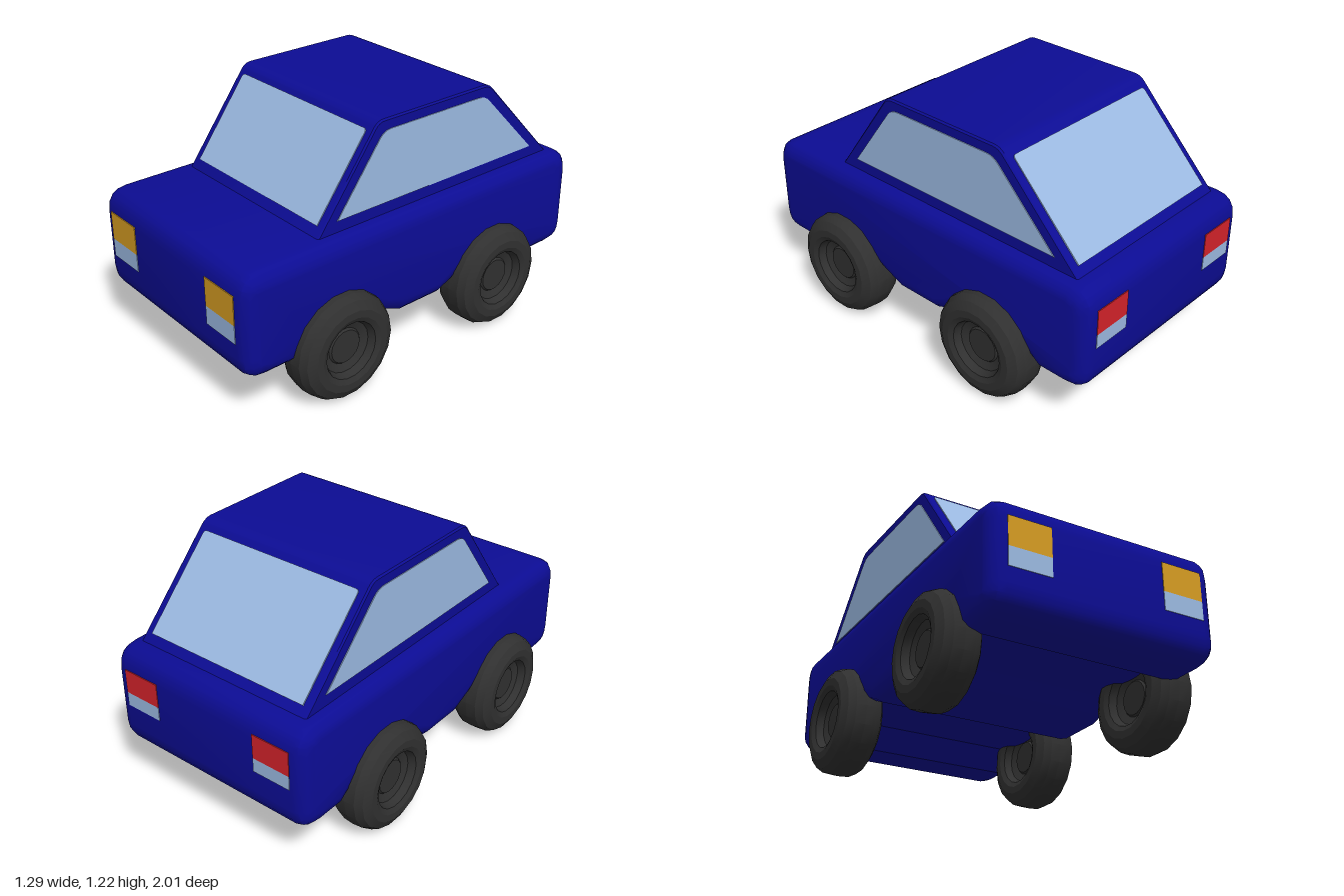
import * as THREE from 'three';
import { toCreasedNormals } from 'three/addons/utils/BufferGeometryUtils.js';

const paint = new THREE.MeshStandardMaterial({ color: 0x0c0c94 });
const glass = new THREE.MeshStandardMaterial({ color: 0x9bb9e1 });
const rubber = new THREE.MeshStandardMaterial({ color: 0x303030 });
const amber = new THREE.MeshStandardMaterial({ color: 0xd69c22 });
const red = new THREE.MeshStandardMaterial({ color: 0xd3222a });
paint.name = 'bodyBlue';
glass.name = 'paleGlass';
rubber.name = 'darkRubber';
amber.name = 'amberLamp';
red.name = 'redLamp';

function addMesh(parent, name, geometry, material) {
  const mesh = new THREE.Mesh(geometry, material);
  mesh.name = name;
  parent.add(mesh);
  return mesh;
}

// Closed outline from [a, b, cornerRadius] points
function roundedShape(points) {
  const shape = new THREE.Shape();
  const n = points.length;
  points.forEach(([a, b, r], i) => {
    const p = new THREE.Vector2(a, b);
    const toward = (q) => {
      const d = new THREE.Vector2(q[0], q[1]).sub(p).normalize();
      return p.clone().addScaledVector(d, r);
    };
    const start = r ? toward(points[(i + n - 1) % n]) : p;
    const end = r ? toward(points[(i + 1) % n]) : p;
    if (i === 0) shape.moveTo(start.x, start.y);
    else shape.lineTo(start.x, start.y);
    if (r) shape.quadraticCurveTo(p.x, p.y, end.x, end.y);
  });
  return shape;
}

// Side outline given as (z, y), extruded across the car and centred on x
function sideExtrude(points, width, bevel, segments) {
  const geometry = new THREE.ExtrudeGeometry(roundedShape(points), {
    depth: width - 2 * bevel,
    curveSegments: 4,
    bevelEnabled: bevel > 0,
    bevelSize: bevel,
    bevelThickness: bevel,
    bevelOffset: -bevel,
    bevelSegments: segments,
  });
  geometry.translate(0, 0, -(width - 2 * bevel) / 2);
  geometry.rotateY(-Math.PI / 2);
  return toCreasedNormals(geometry, 0.6);
}

// Tyre and dished hub, turned about x, the same on both faces
function wheelGeometry() {
  const outer = [
    [0, 0.055], [0.08, 0.055], [0.088, 0.045], [0.125, 0.06], [0.14, 0.095],
    [0.165, 0.107], [0.2, 0.107], [0.24, 0.085], [0.258, 0.05],
  ];
  const inner = outer.map(([r, x]) => [r, -x]);
  const profile = [...inner, [0.262, 0], ...outer.slice().reverse()];
  const geometry = new THREE.LatheGeometry(profile.map(([r, x]) => new THREE.Vector2(r, x)), 18);
  geometry.rotateZ(-Math.PI / 2);
  return toCreasedNormals(geometry, 0.35);
}

export function createModel() {
  const car = new THREE.Group();
  car.name = 'car';

  // Lower body with shallow wheel arches across the underside
  addMesh(car, 'body', sideExtrude([
    [-1, 0.26, 0.11], [-0.74, 0.26, 0], [-0.62, 0.35, 0], [-0.28, 0.35, 0],
    [-0.21, 0.3, 0], [-0.12, 0.26, 0], [0.12, 0.26, 0], [0.24, 0.31, 0],
    [0.33, 0.36, 0], [0.62, 0.36, 0], [0.74, 0.26, 0], [1, 0.26, 0.11],
    [1, 0.77, 0.11], [-1, 0.77, 0.11],
  ], 1.12, 0.07, 3), paint);

  // Cabin
  addMesh(car, 'cabin', sideExtrude([
    [-0.928, 0.73, 0], [0.589, 0.73, 0], [0.225, 1.22, 0.035], [-0.455, 1.22, 0.035],
  ], 0.97, 0.008, 1), paint);

  // Side windows
  const sideWindow = sideExtrude([
    [-0.765, 0.825, 0], [0.455, 0.825, 0], [0.195, 1.17, 0.04], [-0.425, 1.17, 0.04],
  ], 0.008, 0, 1);
  for (const [side, name] of [[1, 'leftWindow'], [-1, 'rightWindow']]) {
    addMesh(car, name, sideWindow, glass).position.x = side * 0.485;
  }

  // Sloping windows, from bottom edge to top edge as [y, z]
  for (const [name, [y0, z0], [y1, z1]] of [
    ['windscreen', [0.81, 0.53], [1.18, 0.255]],
    ['rearWindow', [0.805, -0.859], [1.18, -0.494]],
  ]) {
    const h = Math.hypot(y1 - y0, z1 - z0) / 2;
    const pane = new THREE.ExtrudeGeometry(roundedShape([
      [-0.445, -h, 0], [0.445, -h, 0], [0.445, h, 0.02], [-0.445, h, 0.02],
    ]), { depth: 0.009, bevelEnabled: false });
    pane.translate(0, 0, -0.0045);
    const mesh = addMesh(car, name, pane, glass);
    mesh.position.set(0, (y0 + y1) / 2, (z0 + z1) / 2);
    mesh.rotation.x = Math.atan2(z1 - z0, y1 - y0);
  }

  // Lamps: coloured upper lens over a clear lower lens
  const lamp = (name, material, side, z, x0, x1, y0, y1) => {
    const mesh = addMesh(car, name, new THREE.BoxGeometry(x1 - x0, y1 - y0, 0.008), material);
    mesh.position.set(side * (x0 + x1) / 2, (y0 + y1) / 2, z);
  };
  for (const side of [1, -1]) {
    const label = side > 0 ? 'Left' : 'Right';
    lamp('frontIndicator' + label, amber, side, 0.999, 0.28, 0.487, 0.53, 0.67);
    lamp('headlight' + label, glass, side, 0.999, 0.28, 0.487, 0.44, 0.53);
    lamp('tailLight' + label, red, side, -0.999, 0.285, 0.485, 0.55, 0.67);
    lamp('reverseLight' + label, glass, side, -0.999, 0.285, 0.485, 0.48, 0.55);
  }

  // Wheels
  const wheel = wheelGeometry();
  for (const [end, z] of [['front', 0.497], ['rear', -0.453]]) {
    for (const side of [1, -1]) {
      const mesh = addMesh(car, end + (side > 0 ? 'Left' : 'Right') + 'Wheel', wheel, rubber);
      mesh.position.set(side * 0.537, 0.262, z);
    }
  }
  return car;
}
